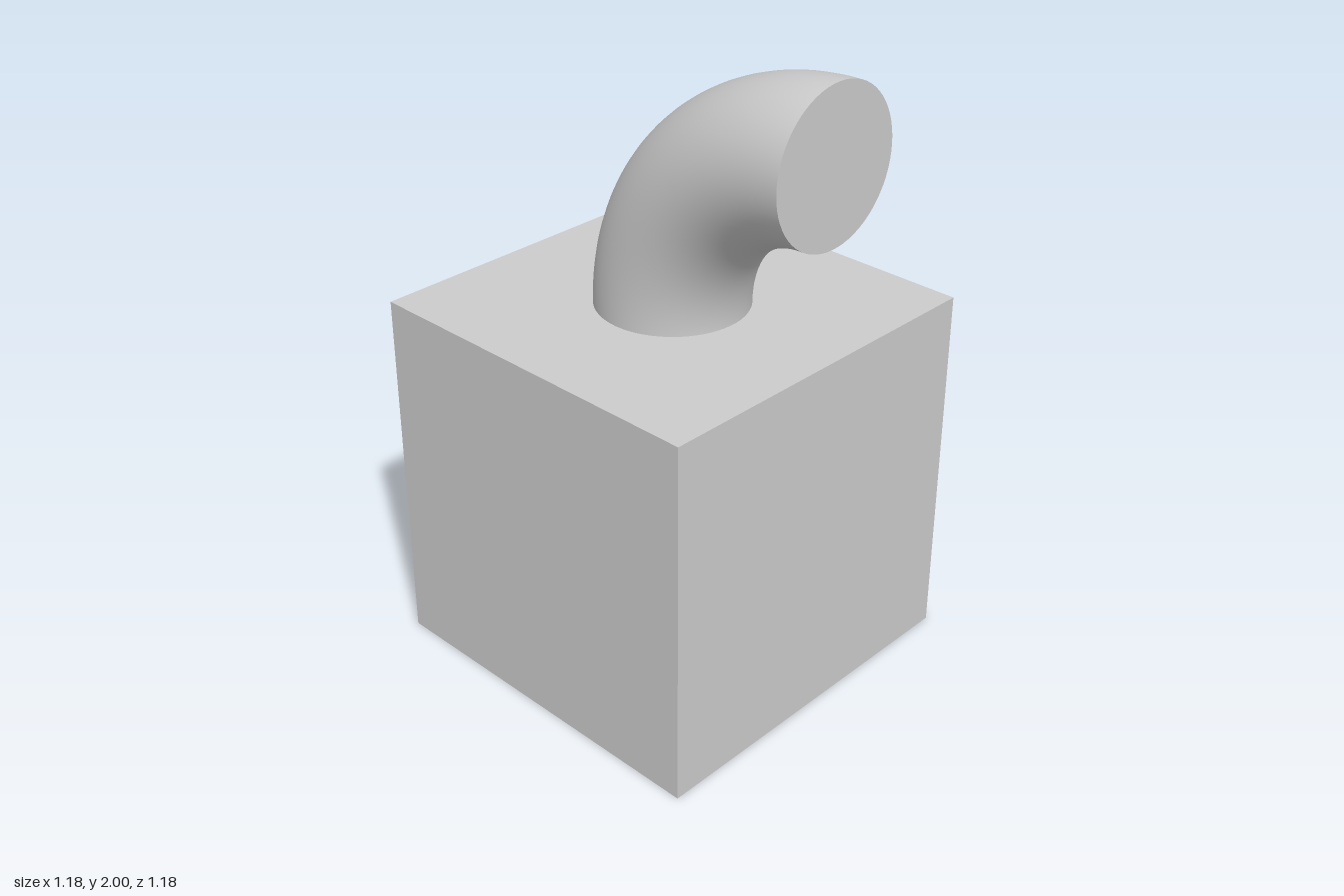
import * as THREE from 'three';

export function createModel() {
  const model = new THREE.Group();
  const material = new THREE.MeshStandardMaterial({ color: 0xcccccc });
  const side = 2 / 1.7;        // cube edge
  const bend = side / 2;       // radius of the elbow's centre line
  const radius = side / 5;     // radius of the pipe

  const add = (name, geometry) => {
    const mesh = new THREE.Mesh(geometry, material);
    mesh.name = name;
    model.add(mesh);
  };

  // Cube standing on the ground
  add('baseCube', new THREE.BoxGeometry(side, side, side).translate(0, side / 2, 0));

  // Quarter bend rising from the middle of the top and turning to the left side
  add('pipeElbow', new THREE.TorusGeometry(bend, radius, 64, 64, Math.PI / 2)
    .rotateZ(Math.PI / 2)
    .translate(bend, side, 0));

  // Flat end of the pipe, flush with the cube's side
  add('pipeEnd', new THREE.CircleGeometry(radius, 64)
    .rotateY(Math.PI / 2)
    .translate(bend, side + bend, 0));

  return model;
}
